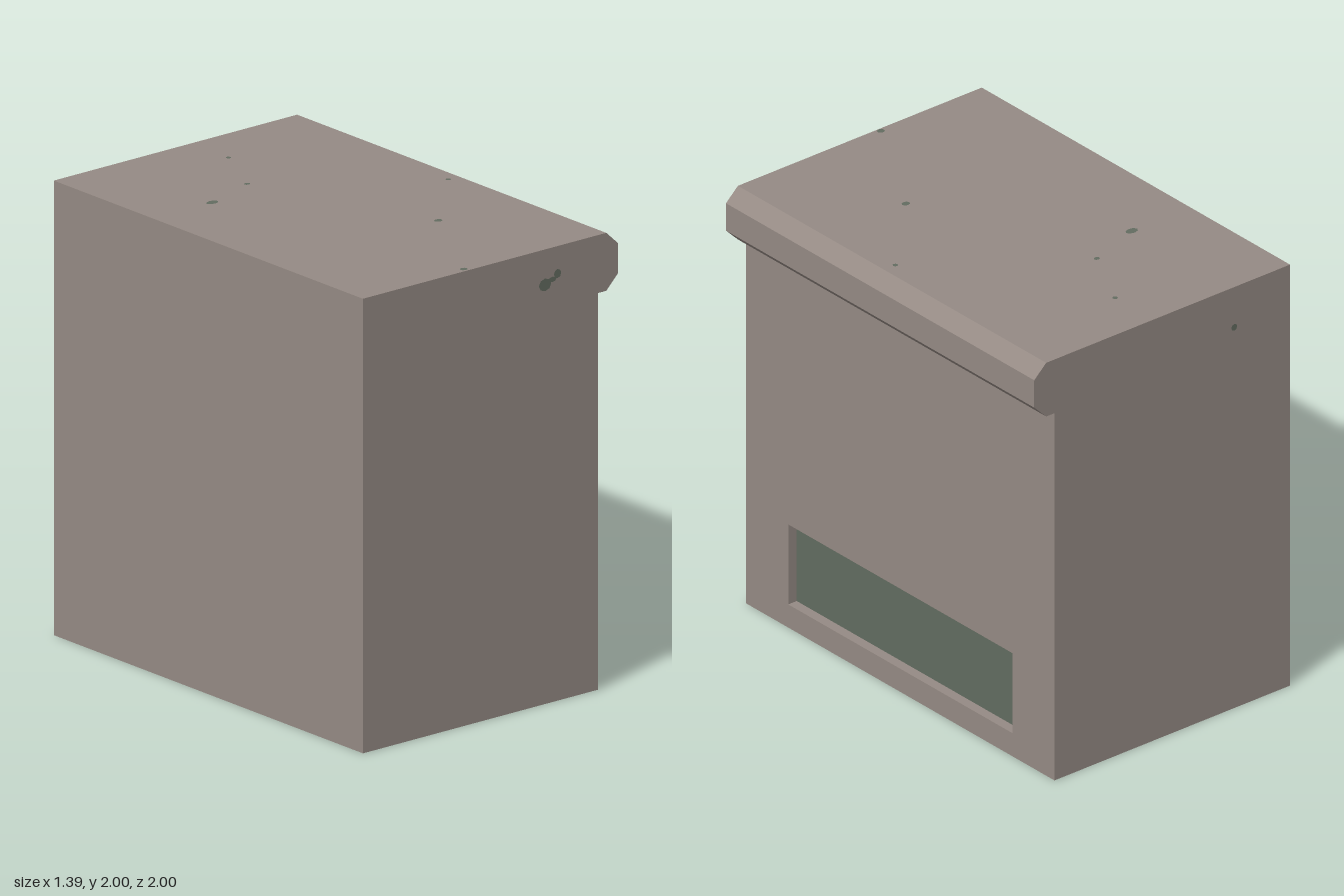
import * as THREE from 'three';

export function createModel() {
  const model = new THREE.Group();
  const stone = new THREE.MeshStandardMaterial({ color: 0x958a84 });
  stone.name = 'warm grey';
  const green = new THREE.MeshStandardMaterial({ color: 0x626c60 });
  green.name = 'grey green';

  const add = (name, geometry, material) => {
    const mesh = new THREE.Mesh(geometry, material);
    mesh.name = name;
    model.add(mesh);
    return mesh;
  };
  const outline = (points) => new THREE.Shape(points.map(([x, y]) => new THREE.Vector2(x, y)));

  const faceX = 0.585, depth = 0.05, innerX = faceX - depth;
  const lipY = 1.745, holeZ = 0.727, holeLow = 0.11, holeHigh = 0.49;

  // Main block with the chamfered overhanging lip
  const profile = outline([
    [-0.695, 0], [innerX, 0], [innerX, lipY], [0.63, lipY],
    [0.695, 1.81], [0.695, 1.94], [0.63, 2], [-0.695, 2],
  ]);
  add('body', new THREE.ExtrudeGeometry(profile, { depth: 2, bevelEnabled: false }).translate(0, 0, -1), stone);

  // Side wall with a rectangular opening
  const wall = outline([[-1, 0], [1, 0], [1, lipY], [-1, lipY]]);
  wall.holes.push(outline([[-holeZ, holeLow], [-holeZ, holeHigh], [holeZ, holeHigh], [holeZ, holeLow]]));
  add('sideWall', new THREE.ExtrudeGeometry(wall, { depth, bevelEnabled: false })
    .rotateY(Math.PI / 2).translate(innerX, 0, 0), stone);

  // Green panel at the back of the recess
  const panel = add('recessPanel', new THREE.BoxGeometry(0.004, holeHigh - holeLow, holeZ * 2), green);
  panel.position.set(innerX + 0.002, (holeLow + holeHigh) / 2, 0);

  // Small worn spots: radius, position, rotation about x, and stretch
  const spots = [
    [0.028, 0.295, 1.845, 1.002, 0, 1.2],
    [0.012, 0.335, 1.86, 1.002, 0, 1.8],
    [0.02, 0.363, 1.88, 1.002, 0, 1],
    [0.016, -0.39, 1.81, -1.002, Math.PI, 1],
    [0.02, -0.375, 2.002, -0.355, -Math.PI / 2, 1.5],
    [0.016, 0.195, 2.002, 0.43, -Math.PI / 2, 1.2],
    [0.016, -0.13, 2.002, 0.98, -Math.PI / 2, 1.1],
    [0.012, -0.11, 2.002, -0.445, -Math.PI / 2, 1.2],
    [0.012, 0.05, 2.002, -0.755, -Math.PI / 2, 1],
    [0.012, 0.57, 2.002, 0.05, -Math.PI / 2, 1],
  ];
  for (const [r, x, y, z, turn, stretch] of spots) {
    const spot = add('wornSpot', new THREE.CircleGeometry(r, 8), green);
    spot.position.set(x, y, z);
    spot.rotation.x = turn;
    spot.scale.x = stretch;
  }
  return model;
}
